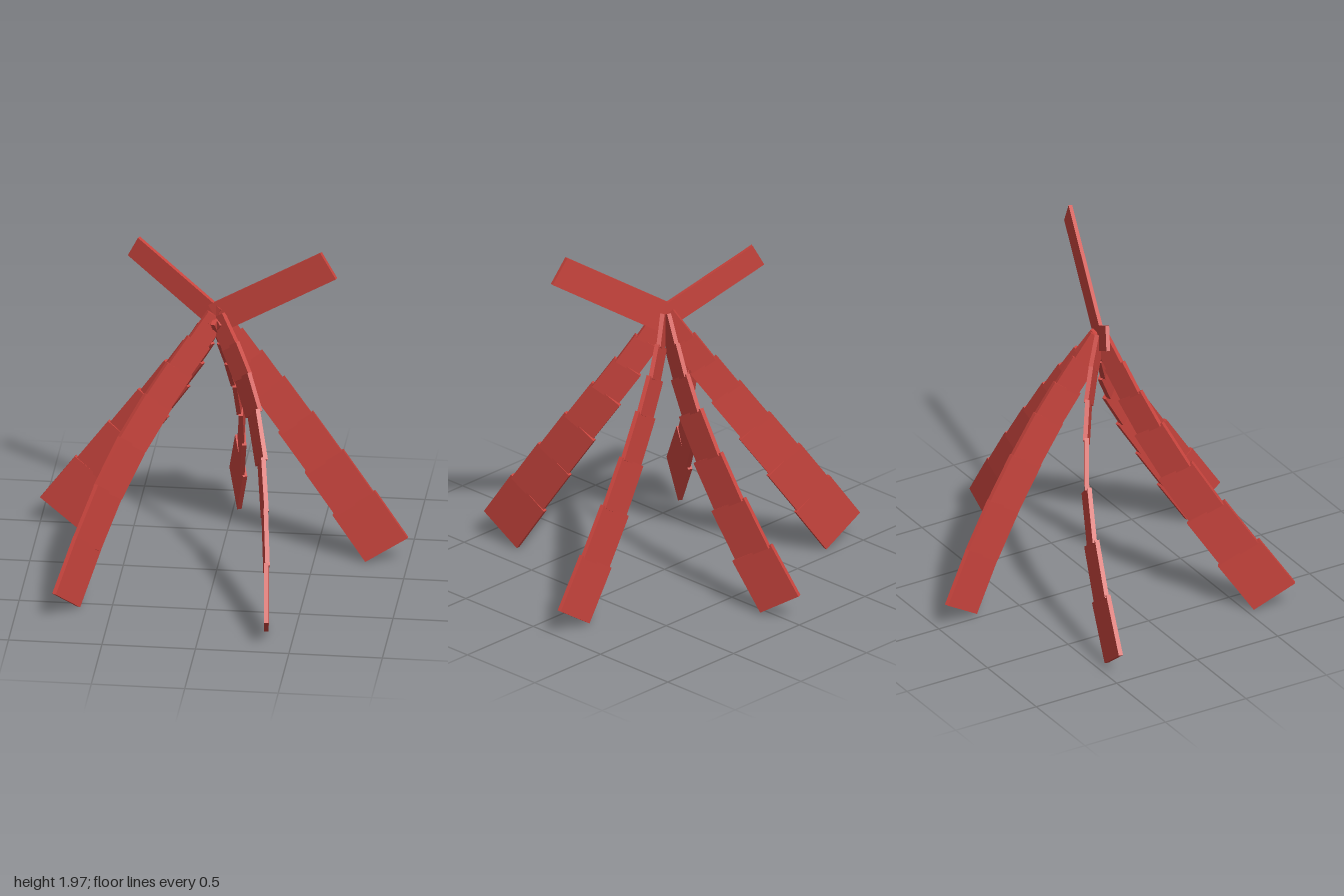
import * as THREE from 'three';

const red = new THREE.MeshStandardMaterial({ color: 0xc8443d });
red.name = 'red';

// flat plank from a to b, its broad face standing in the vertical plane through both
function plank(name, a, b, width, thickness, overlap = 0) {
  const d = b.clone().sub(a);
  const length = d.length() + overlap;
  d.normalize();
  const side = d.clone().cross(new THREE.Vector3(0, 1, 0)).normalize();
  const up = side.clone().cross(d);
  const mesh = new THREE.Mesh(new THREE.BoxGeometry(length, width, thickness), red);
  mesh.quaternion.setFromRotationMatrix(new THREE.Matrix4().makeBasis(d, up, side));
  // the overlap runs back under the previous plank
  mesh.position.copy(b).addScaledVector(d, -length / 2);
  mesh.name = name;
  return mesh;
}

// centre-line heights shared by every leg, hub to foot
const heights = [1.49, 1.34, 1.194, 1.027, 0.81, 0.58, 0.337, 0.08];

// [x, z] paths of the swirling legs, hub to outer tip
const legPaths = {
  leftLeg: [[0, 0], [0.12, -0.07], [0.27, -0.12], [0.5, -0.165], [0.8, -0.188], [1, -0.19]],
  frontLeg: [[0, 0], [0.14, 0.11], [0.25, 0.27], [0.315, 0.51], [0.35, 0.725], [0.372, 0.968]],
  frontRightLeg: [[0, 0], [-0.29, 0.12], [-0.475, 0.255], [-0.6, 0.415], [-0.695, 0.575], [-0.787, 0.74]],
  backRightLeg: [[0, 0], [-0.13, -0.145], [-0.34, -0.29], [-0.53, -0.37], [-0.8, -0.435], [-1, -0.468]],
  backLeg: [[0, 0], [0.065, -0.21], [0.085, -0.355], [0.065, -0.64], [0.02, -0.8], [-0.03, -0.97]],
};

function makeLeg(name, path) {
  const leg = new THREE.Group();
  leg.name = name;
  const curve = new THREE.CatmullRomCurve3(path.map(([x, z]) => new THREE.Vector3(x, 0, z)));
  const reach = 1 - 0.113 / curve.getLength();
  const top = heights[0], drop = top - heights[heights.length - 1];
  const joints = heights.map((y) => curve.getPointAt(reach * (top - y) / drop).setY(y));
  // planks widen towards the foot
  for (let i = 0; i < joints.length - 1; i++) {
    leg.add(plank('legSegment', joints[i], joints[i + 1], 0.12 + 0.025 * i, 0.024, i ? 0.012 : 0));
  }
  return leg;
}

export function createModel() {
  const model = new THREE.Group();
  model.name = 'leaningPlanks';
  for (const [name, path] of Object.entries(legPaths)) model.add(makeLeg(name, path));

  // two straight planks rising from the hub
  const hub = new THREE.Vector3(0, 1.48, 0);
  model.add(plank('longUpperPlank', hub, new THREE.Vector3(0.62, 1.9, 0.178), 0.163, 0.02));
  model.add(plank('shortUpperPlank', hub, new THREE.Vector3(-0.47, 1.767, -0.235), 0.135, 0.02));
  return model;
}
